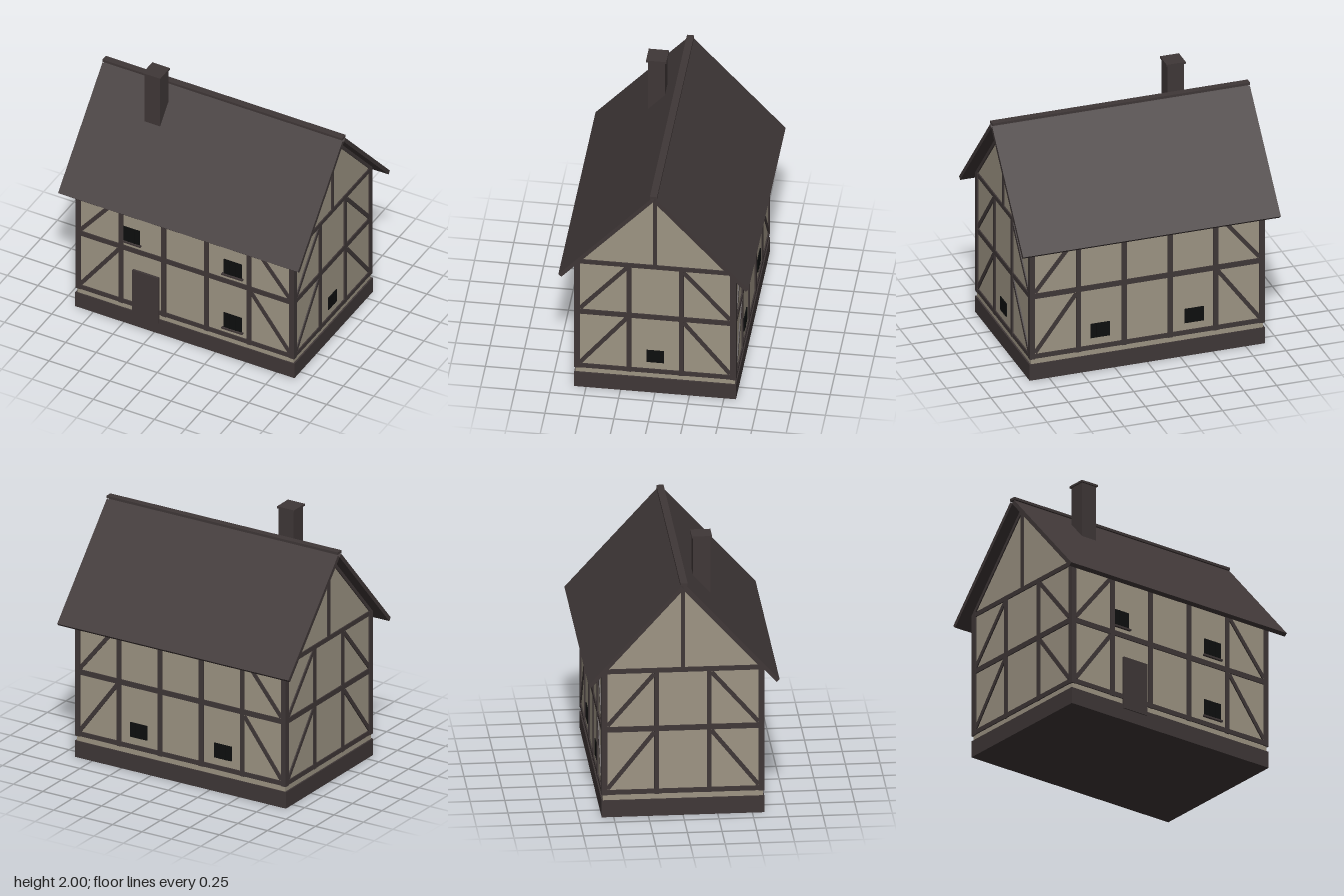
import * as THREE from 'three';

const mat = (name, color) => {
  const m = new THREE.MeshStandardMaterial({ color });
  m.name = name;
  return m;
};

export function createModel() {
  const timber = mat('dark timber', 0x3f3737);
  const plaster = mat('plaster', 0x9d9483);
  const glass = mat('dark glass', 0x0d0e0e);
  const house = new THREE.Group();
  house.name = 'house';

  // Box given by its low and high corners
  function box(parent, name, m, x0, x1, y0, y1, z0, z1) {
    const mesh = new THREE.Mesh(new THREE.BoxGeometry(x1 - x0, y1 - y0, z1 - z0), m);
    mesh.position.set((x0 + x1) / 2, (y0 + y1) / 2, (z0 + z1) / 2);
    mesh.name = name;
    parent.add(mesh);
    return mesh;
  }

  // Beam between two points of a wall plane
  function beam(parent, name, x0, y0, x1, y1, width, z, depth = 0.02) {
    const len = Math.hypot(x1 - x0, y1 - y0);
    const mesh = new THREE.Mesh(new THREE.BoxGeometry(len, width, depth), timber);
    mesh.position.set((x0 + x1) / 2, (y0 + y1) / 2, z);
    mesh.rotation.z = Math.atan2(y1 - y0, x1 - x0);
    mesh.name = name;
    parent.add(mesh);
  }

  // Window pane with glazing bars and an optional sill
  function windowPane(parent, x0, x1, y0, y1, z, sill) {
    box(parent, 'windowPane', glass, x0, x1, y0, y1, z - 0.004, z + 0.005);
    for (const t of [1 / 3, 2 / 3]) {
      const x = x0 + (x1 - x0) * t;
      box(parent, 'glazingBar', glass, x - 0.003, x + 0.003, y0, y1, z, z + 0.007);
    }
    if (sill) box(parent, 'windowSill', timber, Math.max(x0 - 0.012, sill), x1 + 0.012, y0 - 0.013, y0, z - 0.005, z + 0.016);
  }

  // Timber frame: posts, rails and braces in the end panels
  function frame(name, angle, posts, z, half, top) {
    const g = new THREE.Group();
    g.name = name;
    g.rotation.y = angle;
    house.add(g);
    for (const [x, w] of posts) for (const s of [-1, 1]) {
      box(g, 'post', timber, s * x - w / 2, s * x + w / 2, 0.167, top, z - 0.01, z + 0.01);
    }
    for (const [y0, y1] of [[0.17, 0.205], [0.65, 0.69], [1.1, top]]) {
      box(g, 'rail', timber, -half, half, y0, y1, z - 0.01, z + 0.009);
    }
    const outer = posts[0][0] - posts[0][1] / 2, inner = posts[1][0] + posts[1][1] / 2;
    for (const s of [-1, 1]) for (const [y0, y1] of [[0.205, 0.65], [0.69, 1.1]]) {
      beam(g, 'brace', s * outer, y0 + 0.01, s * inner, y1 - 0.01, 0.03, z, 0.017);
    }
    return g;
  }

  // Plinth and plastered walls with gables
  box(house, 'plinth', timber, -0.897, 0.897, 0, 0.127, -0.587, 0.587);
  const profile = new THREE.Shape([
    [-0.578, 0.12], [0.578, 0.12], [0.578, 1.13], [0, 1.768], [-0.578, 1.13],
  ].map(p => new THREE.Vector2(...p)));
  const wallGeo = new THREE.ExtrudeGeometry(profile, { depth: 1.77, bevelEnabled: false });
  wallGeo.translate(0, 0, -0.885).rotateY(Math.PI / 2);
  const walls = new THREE.Mesh(wallGeo, plaster);
  walls.name = 'walls';
  house.add(walls);

  // Long walls
  const longPosts = [[0.875, 0.04], [0.523, 0.035], [0.175, 0.037]];
  const front = frame('frontWallFrame', 0, longPosts, 0.578, 0.893, 1.125);
  const back = frame('backWallFrame', Math.PI, longPosts, 0.578, 0.893, 1.125);
  windowPane(front, 0.315, 0.462, 0.252, 0.38, 0.58, -1);
  windowPane(front, 0.315, 0.462, 0.735, 0.86, 0.58, -1);
  windowPane(front, -0.505, -0.373, 0.735, 0.86, 0.58, -0.505);
  for (const x of [-0.358, 0.358]) windowPane(back, x - 0.073, x + 0.073, 0.262, 0.375, 0.58);
  box(front, 'door', timber, -0.427, -0.213, 0.093, 0.5, 0.57, 0.595);

  // Gable walls with king post and rafters
  const sidePosts = [[0.56, 0.032], [0.19, 0.034]];
  for (const s of [-1, 1]) {
    const side = frame(s > 0 ? 'leftGableFrame' : 'rightGableFrame', s * Math.PI / 2, sidePosts, 0.885, 0.575, 1.135);
    box(side, 'kingPost', timber, -0.014, 0.014, 1.13, 1.75, 0.876, 0.894);
    for (const k of [-1, 1]) beam(side, 'rafter', 0, 1.752, k * 0.578, 1.115, 0.024, 0.885, 0.018);
    if (s > 0) windowPane(side, -0.064, 0.064, 0.265, 0.37, 0.887);
  }

  // Roof slabs, meeting along their lower edges
  const roof = new THREE.Group();
  roof.name = 'roof';
  house.add(roof);
  const run = 0.667, drop = 0.736, thick = 0.03;
  const pitch = Math.atan2(drop, run);
  for (const s of [-1, 1]) {
    const slab = new THREE.Mesh(new THREE.BoxGeometry(1.964, thick, Math.hypot(run, drop)), timber);
    slab.position.set(0, 1.77 - drop / 2 + Math.cos(pitch) * thick / 2, s * (run / 2 + Math.sin(pitch) * thick / 2));
    slab.rotation.x = s * pitch;
    slab.name = 'roofSlab';
    roof.add(slab);
  }
  box(roof, 'ridgeCap', timber, -0.982, 0.982, 1.797, 1.816, -0.026, 0.026);

  // Chimney
  box(house, 'chimney', timber, -0.525, -0.398, 1.53, 1.986, 0.106, 0.23);
  box(house, 'chimneyCap', timber, -0.535, -0.39, 1.985, 2, 0.095, 0.242);

  return house;
}
